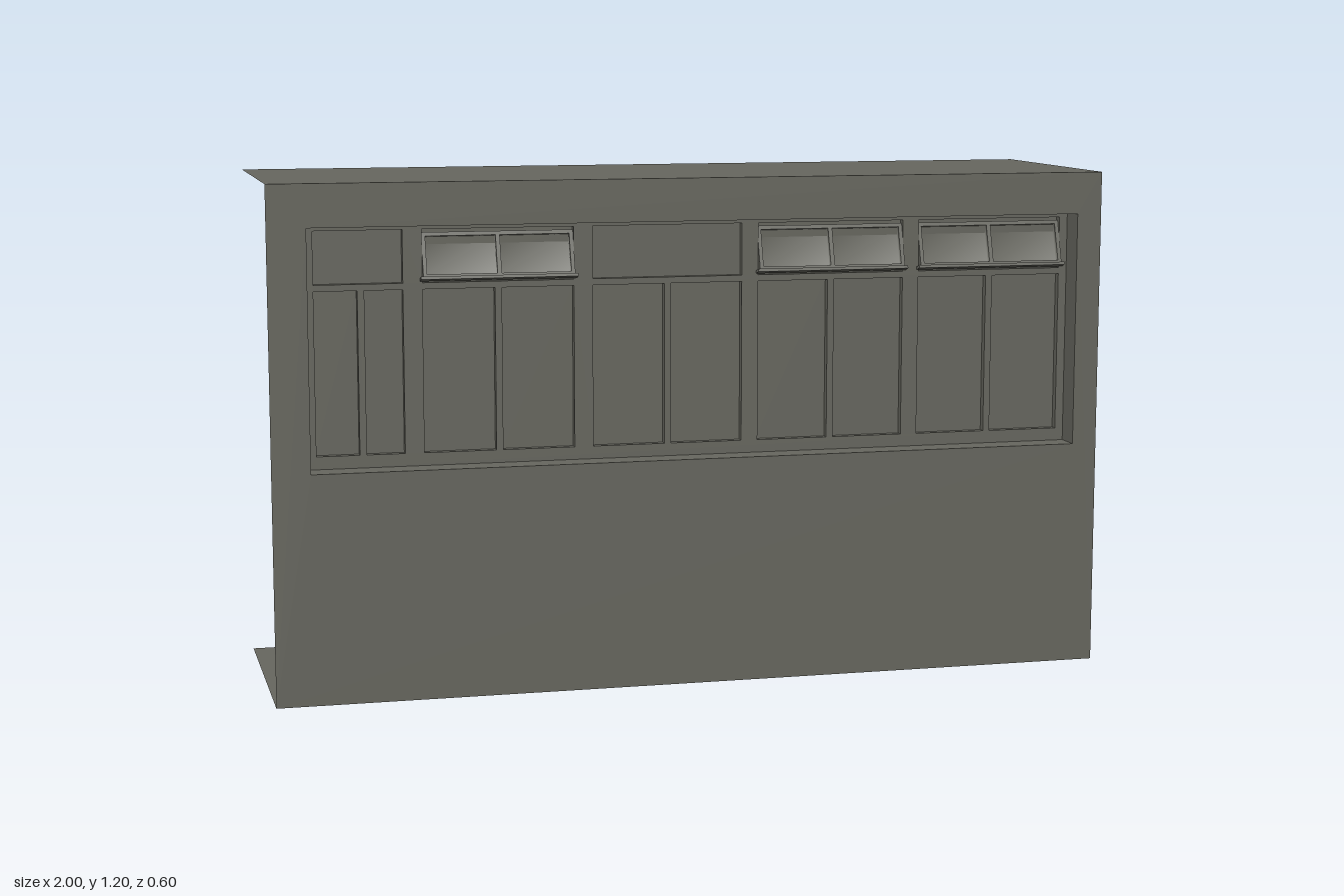
import * as THREE from 'three';

const grey = new THREE.MeshStandardMaterial({ color: 0x67675f, side: THREE.DoubleSide });
grey.name = 'warm grey';

function add(parent, name, geometry) {
  const mesh = new THREE.Mesh(geometry, grey);
  mesh.name = name;
  parent.add(mesh);
  return mesh;
}

const corners = ([x0, y0, x1, y1]) => [[x0, y0], [x1, y0], [x1, y1], [x0, y1]];

// Flat sheet with rectangular openings; rectangles are [x0, y0, x1, y1]
function sheet(rect, holes) {
  const points = r => corners(r).map(p => new THREE.Vector2(...p));
  const shape = new THREE.Shape(points(rect));
  for (const h of holes) shape.holes.push(new THREE.Path(points(h).reverse()));
  return new THREE.ShapeGeometry(shape);
}

// Sides of a recess running back from z = 0, with an optional floor
function recess(rect, depth, floor = true, smooth = false) {
  const pos = [];
  for (const z of [0, -depth]) for (const [x, y] of corners(rect)) pos.push(x, y, z);
  const index = [];
  for (let a = 0; a < 4; a++) {
    const b = (a + 1) % 4;
    index.push(a, b, b + 4, a, b + 4, a + 4);
  }
  if (floor) index.push(4, 5, 6, 4, 6, 7);
  let g = new THREE.BufferGeometry();
  g.setAttribute('position', new THREE.Float32BufferAttribute(pos, 3));
  g.setIndex(index);
  if (!smooth) g = g.toNonIndexed();
  g.computeVertexNormals();
  return g;
}

// Tilted two-light sash hung from its top edge
function openSash(parent, cx, top, z, w, h) {
  const sash = new THREE.Group();
  sash.name = 'openSash';
  const x = w / 2, m = 0.009, bar = 0.005;
  const rect = [-x, -h, x, 0];
  const lights = [[-x + m, -h + m, -bar, -m], [bar, -h + m, x - m, -m]];
  add(sash, 'sashFrame', sheet(rect, lights));
  add(sash, 'sashEdge', recess(rect, 0.018));
  for (const r of lights) add(sash, 'sashLight', recess(r, 0.014, true, true));
  add(sash, 'sashBottomRail', new THREE.BoxGeometry(w + 0.012, 0.007, 0.02)).position.set(0, -h, -0.006);
  sash.position.set(cx, top, z);
  sash.rotation.x = -0.3;
  parent.add(sash);
}

// Wall with a recessed window: skin, reveal, frame and inset panes
function windowWall(name, halfWidth, opening, depth, panes) {
  const wall = new THREE.Group();
  wall.name = name;
  add(wall, 'wallSkin', sheet([-halfWidth, 0, halfWidth, 1.2], [opening]));
  add(wall, 'windowReveal', recess(opening, depth, false));
  const frame = new THREE.Group();
  frame.name = 'windowFrame';
  frame.position.z = -depth;
  add(frame, 'frameFace', sheet(opening, panes));
  for (const r of panes) add(frame, 'pane', recess(r, 0.018));
  wall.add(frame);
  return { wall, frame };
}

export function createModel() {
  const model = new THREE.Group();
  model.name = 'buildingShell';

  // Floor and roof; the back and the model's right end stay open
  for (const [name, y] of [['floor', 0], ['roof', 1.2]]) {
    const slab = add(model, name, new THREE.PlaneGeometry(2, 0.6));
    slab.rotation.x = y ? -Math.PI / 2 : Math.PI / 2;
    slab.position.y = y;
  }

  // Front bays: left edge, right edge, mullion, whether the sash is open
  const bays = [
    [-0.89, -0.685, -0.782, false],
    [-0.64, -0.285, -0.463, true],
    [-0.24, 0.12, -0.06, false],
    [0.16, 0.52, 0.34, true],
    [0.56, 0.92, 0.74, true],
  ];
  const panes = [];
  for (const [a, b, m] of bays) {
    panes.push([a, 0.57, m - 0.008, 0.95], [m + 0.008, 0.57, b, 0.95], [a, 0.965, b, 1.088]);
  }
  const front = windowWall('frontWall', 1, [-0.91, 0.54, 0.94, 1.1], 0.065, panes);
  front.wall.position.z = 0.3;
  for (const [a, b, , open] of bays) {
    if (open) openSash(front.frame, (a + b) / 2, 1.08, -0.012, b - a, 0.108);
  }
  model.add(front.wall);

  // End wall on the model's left
  const side = windowWall('endWall', 0.3, [-0.225, 0.543, 0.225, 1.1], 0.06,
    [[-0.2, 0.565, 0.2, 0.992], [-0.2, 1.008, 0.2, 1.098]]);
  side.wall.position.x = 1;
  side.wall.rotation.y = Math.PI / 2;
  openSash(side.frame, 0, 0.99, -0.002, 0.4, 0.108);
  model.add(side.wall);

  return model;
}
